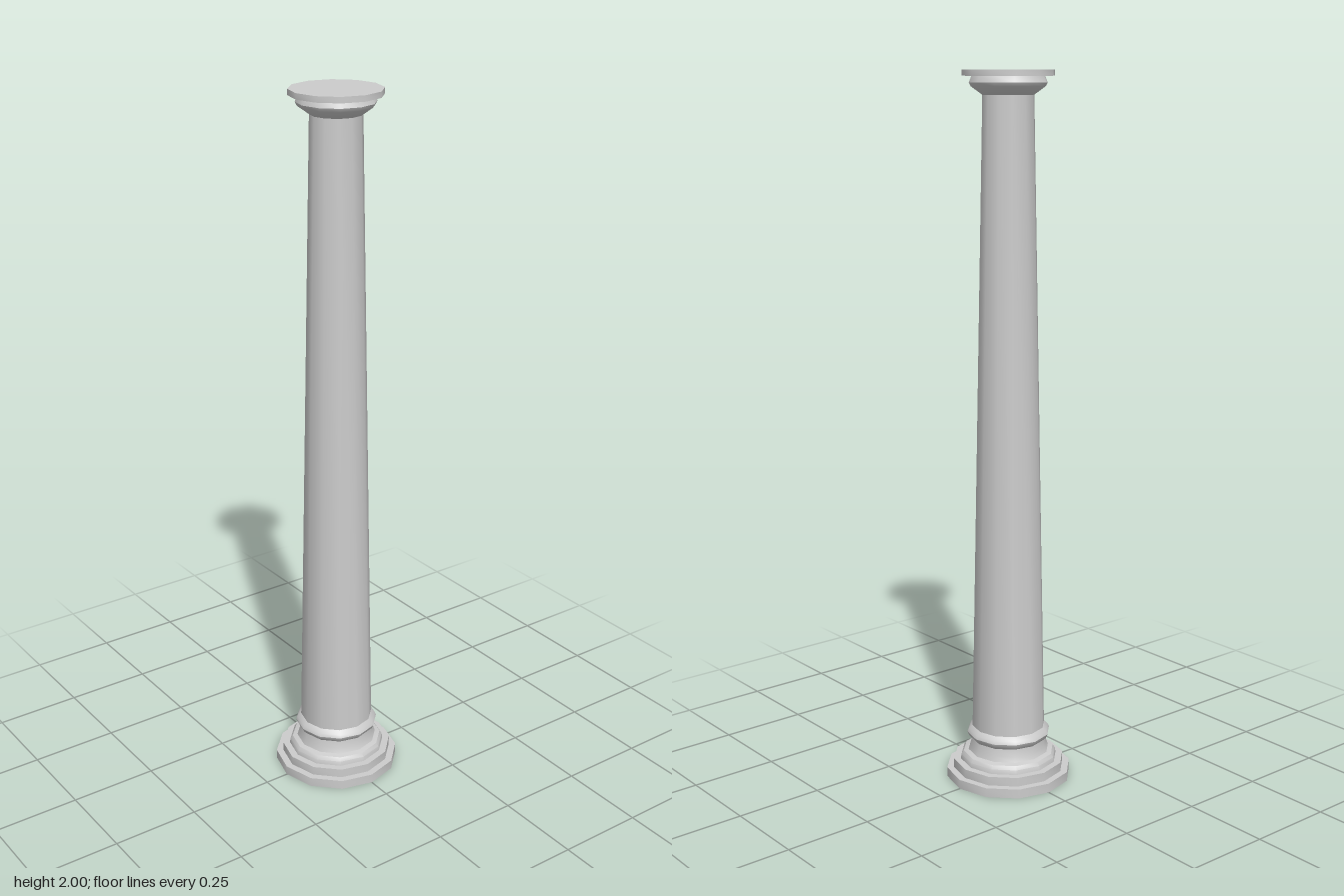
import * as THREE from 'three';
import { toCreasedNormals } from 'three/addons/utils/BufferGeometryUtils.js';

const SIDES = 12;
const material = new THREE.MeshStandardMaterial({ color: 0xcccccc });

// Turns a [radius, height] profile, listed bottom to top, into a twelve-sided part.
function turned(name, profile) {
  const points = profile.map(([r, y]) => new THREE.Vector2(r, y));
  const geometry = toCreasedNormals(new THREE.LatheGeometry(points, SIDES), 0.65);
  const mesh = new THREE.Mesh(geometry, material);
  mesh.name = name;
  return mesh;
}

export function createModel() {
  const column = new THREE.Group();
  column.name = 'column';

  column.add(
    // two flat steps, closed underneath
    turned('plinth', [
      [0, 0], [0.18, 0], [0.18, 0.027], [0.16, 0.027], [0.16, 0.053], [0.14, 0.053],
    ]),
    // sloping foot, hollow neck and rounded ring
    turned('baseMoulding', [
      [0.14, 0.053], [0.138, 0.066], [0.131, 0.076], [0.117, 0.08], [0.111, 0.095],
      [0.108, 0.116], [0.116, 0.124], [0.12, 0.134], [0.116, 0.143], [0.105, 0.153],
    ]),
    // long tapering shaft
    turned('shaft', [[0.105, 0.153], [0.07, 1.935]]),
    // flared capital
    turned('capital', [
      [0.07, 1.935], [0.077, 1.94], [0.101, 1.957], [0.106, 1.967], [0.099, 1.984],
    ]),
    // thin top slab
    turned('abacus', [
      [0.099, 1.984], [0.125, 1.984], [0.125, 2], [0, 2],
    ]),
  );
  return column;
}
